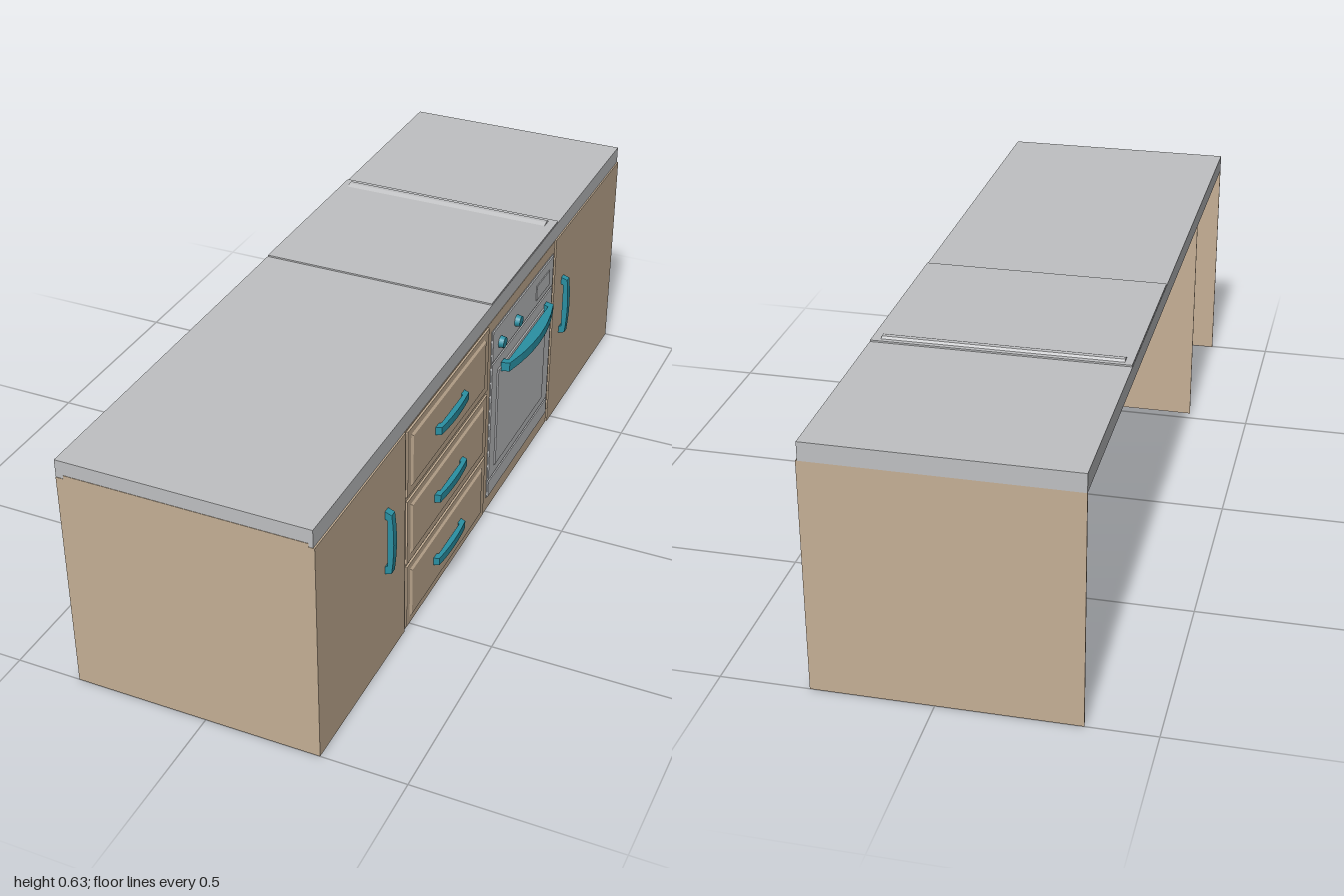
import * as THREE from 'three';

export function createModel() {
  const model = new THREE.Group();
  model.name = 'kitchenCounter';
  const mat = (name, color) => {
    const m = new THREE.MeshStandardMaterial({ color });
    m.name = name;
    return m;
  };
  const wood = mat('tanWood', 0xc5af95);
  const grey = mat('paleGrey', 0xbfc0c2);
  const teal = mat('tealHandle', 0x2a90a3);

  const add = (name, geometry, material) => {
    const mesh = new THREE.Mesh(geometry, material);
    mesh.name = name;
    model.add(mesh);
    return mesh;
  };
  // Box given by its two limits on each axis
  const box = (name, material, [x0, x1], [y0, y1], [z0, z1]) =>
    add(name, new THREE.BoxGeometry(x1 - x0, y1 - y0, z1 - z0)
      .translate((x0 + x1) / 2, (y0 + y1) / 2, (z0 + z1) / 2), material);

  // Plate on the cupboard front (facing +x) with a narrow sloping rim
  const panel = (name, material, x, depth, [y0, y1], [z0, z1], rim = 0.006) => {
    const g = new THREE.BoxGeometry(depth, y1 - y0, z1 - z0);
    const p = g.attributes.position;
    for (let i = 0; i < p.count; i++) {
      if (p.getX(i) > 0) {
        p.setY(i, p.getY(i) - Math.sign(p.getY(i)) * rim);
        p.setZ(i, p.getZ(i) - Math.sign(p.getZ(i)) * rim);
      }
    }
    const flat = g.toNonIndexed();
    flat.computeVertexNormals();
    flat.translate(x + depth / 2, (y0 + y1) / 2, (z0 + z1) / 2);
    return add(name, flat, material);
  };

  // Bowed bar handle: length along z, projecting toward +x
  const handle = (name, x, y, z, length, depth, height, bow, vertical = false) => {
    const h = length / 2, n = 6;
    const s = new THREE.Shape();
    s.moveTo(-h, 0);
    for (let i = 0; i <= n; i++) {
      const t = (i / n) * 2 - 1;
      s.lineTo(t * (h - 0.006), depth - bow * t * t);
    }
    s.lineTo(h, 0);
    s.lineTo(h - 0.02, 0);
    s.lineTo(h - 0.024, depth * 0.3);
    s.lineTo(-h + 0.024, depth * 0.3);
    s.lineTo(-h + 0.02, 0);
    s.closePath();
    const g = new THREE.ExtrudeGeometry(s, { depth: height, bevelEnabled: false });
    g.translate(0, 0, -height / 2);
    g.applyMatrix4(new THREE.Matrix4().makeBasis(
      new THREE.Vector3(0, 0, 1), new THREE.Vector3(1, 0, 0), new THREE.Vector3(0, 1, 0)));
    if (vertical) g.rotateX(Math.PI / 2);
    g.translate(x, y, z);
    return add(name, g, teal);
  };

  // Worktop
  box('worktop', grey, [-0.335, 0.284], [0.577, 0.622], [-1, 0.999]);

  // End panels and inner partition; back and floor stay open
  box('leftEndPanel', wood, [-0.335, 0.274], [0, 0.577], [0.996, 1]);
  box('endPanelTop', wood, [-0.315, 0.274], [0.577, 0.586], [0.998, 1]);
  box('rightEndPanel', wood, [-0.335, 0.274], [0, 0.577], [-1, -0.996]);
  box('partition', wood, [-0.335, 0.274], [0, 0.577], [0.528, 0.532]);

  // Cupboard doors and the fronts between them
  box('leftDoor', wood, [0.274, 0.288], [0, 0.577], [0.534, 1]);
  box('rightDoor', wood, [0.274, 0.288], [0, 0.577], [-1, -0.472]);
  box('drawerFrame', wood, [0.274, 0.285], [0, 0.577], [0.006, 0.53]);
  box('ovenSurround', wood, [0.274, 0.285], [0, 0.577], [-0.468, 0.006]);
  for (const [z, side] of [[0.64, 'left'], [-0.54, 'right']])
    handle(side + 'DoorHandle', 0.288, 0.347, z, 0.176, 0.022, 0.018, 0.005, true);

  // Drawers with raised centre fields
  for (const y of [0.0975, 0.2875, 0.4825]) {
    panel('drawerFront', wood, 0.285, 0.004, [y - 0.093, y + 0.091], [0.02, 0.525], 0.002);
    panel('drawerField', wood, 0.289, 0.004, [y - 0.0725, y + 0.0725], [0.045, 0.505]);
    handle('drawerHandle', 0.292, y, 0.28, 0.18, 0.02, 0.021, 0.005);
  }

  // Oven: back plate, lower drawer, door, window and control strip
  box('ovenBack', grey, [0.271, 0.2865], [0.04, 0.545], [-0.455, -0.005]);
  panel('ovenLowerDrawer', grey, 0.2865, 0.003, [0.042, 0.09], [-0.452, -0.008], 0.001);
  panel('ovenDoor', grey, 0.2865, 0.003, [0.095, 0.448], [-0.452, -0.008], 0.001);
  panel('ovenWindow', grey, 0.2895, 0.003, [0.12, 0.415], [-0.405, -0.045], 0.003);
  panel('ovenControls', grey, 0.2865, 0.003, [0.453, 0.543], [-0.452, -0.008], 0.001);
  panel('ovenDisplay', grey, 0.2895, 0.002, [0.47, 0.515], [-0.42, -0.32], 0.001);
  handle('ovenHandle', 0.291, 0.413, -0.235, 0.34, 0.044, 0.025, 0.022);
  for (const z of [-0.06, -0.175])
    add('ovenKnob', new THREE.CylinderGeometry(0.014, 0.016, 0.014, 16)
      .rotateZ(-Math.PI / 2).translate(0.296, 0.49, z), teal);

  // Hob lid with its hinge strip
  box('hobLid', grey, [-0.334, 0.283], [0.622, 0.626], [-0.49, -0.005]);
  const hinge = new THREE.Shape();
  hinge.moveTo(-0.478, 0.626);
  hinge.lineTo(-0.448, 0.626);
  hinge.lineTo(-0.46, 0.631);
  hinge.lineTo(-0.472, 0.631);
  hinge.closePath();
  const hingeGeometry = new THREE.ExtrudeGeometry(hinge, { depth: 0.575, bevelEnabled: false });
  hingeGeometry.applyMatrix4(new THREE.Matrix4().makeBasis(
    new THREE.Vector3(0, 0, 1), new THREE.Vector3(0, 1, 0), new THREE.Vector3(-1, 0, 0)));
  add('hobHinge', hingeGeometry.translate(0.26, 0, 0), grey);

  return model;
}
